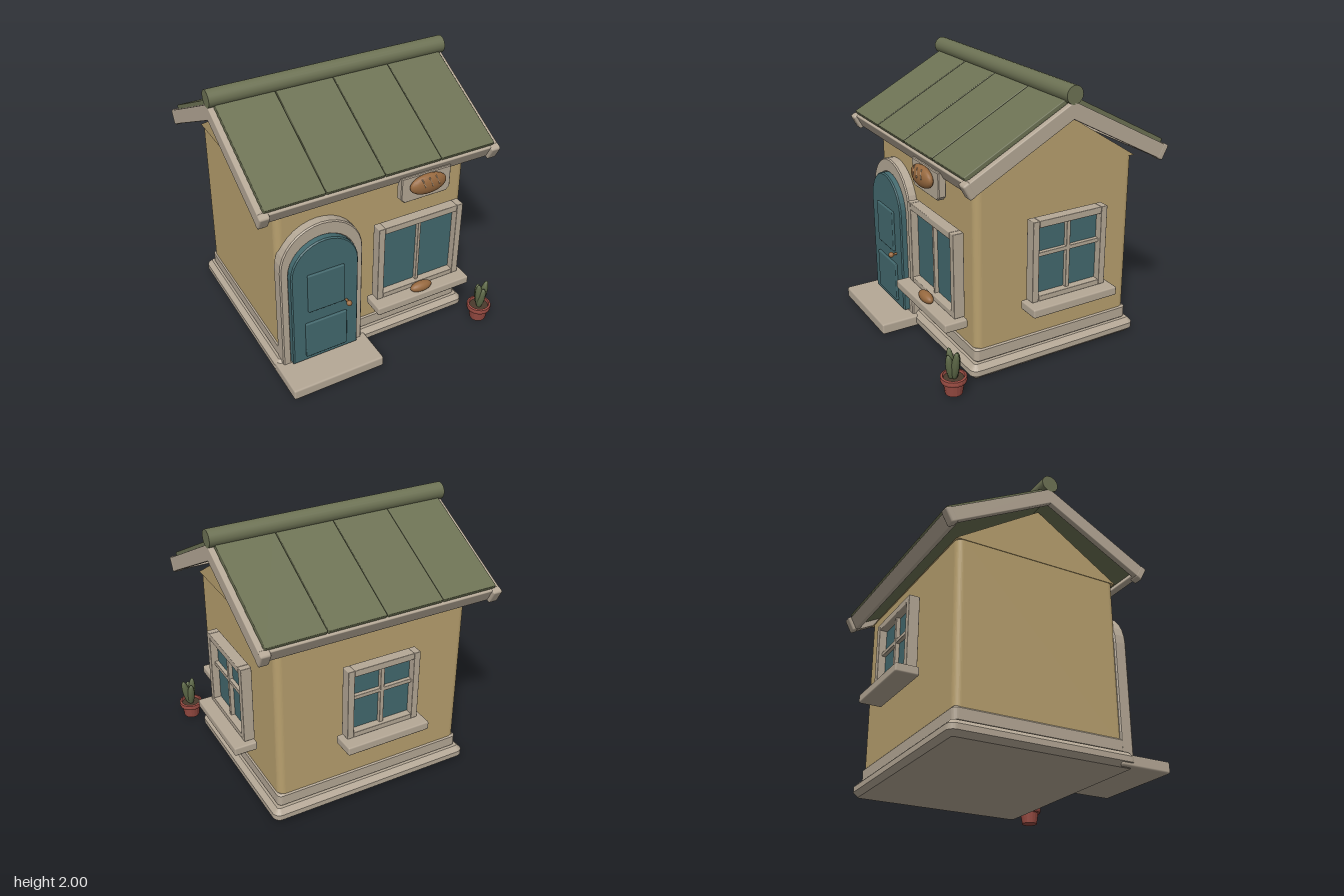
import * as THREE from 'three';
import { RoundedBoxGeometry } from 'three/addons/geometries/RoundedBoxGeometry.js';

const paint = (name, color) => {
  const m = new THREE.MeshStandardMaterial({ color });
  m.name = name;
  return m;
};

export function createModel() {
  const wall = paint('ochre plaster', 0xb8a06e);
  const trim = paint('pale stone', 0xb5a896);
  const roof = paint('moss green', 0x6d7254);
  const teal = paint('teal', 0x43696e);
  const clay = paint('terracotta', 0x984b42);
  const crust = paint('crust brown', 0x97693f);
  const score = paint('crust score', 0xc0a688);
  const soil = paint('soil', 0x4a3a2c);
  const leaf = paint('leaf green', 0x5d6847);

  const model = new THREE.Group();
  model.name = 'cottageShop';
  const CX = -0.02, CZ = -0.06;

  const add = (parent, name, geo, mat, x = 0, y = 0, z = 0) => {
    const m = new THREE.Mesh(geo, mat);
    m.name = name;
    m.position.set(x, y, z);
    parent.add(m);
    return m;
  };
  // box given by its min and max corners, with softened edges
  const box = (parent, name, mat, [x0, y0, z0], [x1, y1, z1], r = 0.008) => {
    const w = x1 - x0, h = y1 - y0, d = z1 - z0;
    const geo = r ? new RoundedBoxGeometry(w, h, d, 1, r) : new THREE.BoxGeometry(w, h, d);
    return add(parent, name, geo, mat, (x0 + x1) / 2, (y0 + y1) / 2, (z0 + z1) / 2);
  };
  const group = (name, parent = model) => {
    const g = new THREE.Group();
    g.name = name;
    parent.add(g);
    return g;
  };
  const roundRect = (hw, hd, r) => {
    const s = new THREE.Shape();
    s.absarc(hw - r, hd - r, r, 0, Math.PI / 2);
    s.absarc(-hw + r, hd - r, r, Math.PI / 2, Math.PI);
    s.absarc(-hw + r, -hd + r, r, Math.PI, Math.PI * 1.5);
    s.absarc(hw - r, -hd + r, r, Math.PI * 1.5, Math.PI * 2);
    return s;
  };

  // Foundation, plinth and walls
  const plinth = (name, hw, hd, y0, y1, b) => {
    const geo = new THREE.ExtrudeGeometry(roundRect(hw - b, hd - b, 0.02), {
      depth: y1 - y0 - 2 * b, bevelThickness: b, bevelSize: b, bevelSegments: 1, curveSegments: 3,
    });
    geo.rotateX(-Math.PI / 2);
    add(model, name, geo, trim, CX, y0 + b, CZ);
  };
  plinth('foundation', 0.8, 0.69, 0, 0.11, 0.035);
  plinth('plinth', 0.75, 0.64, 0.105, 0.21, 0.014);
  const walls = new THREE.ExtrudeGeometry(roundRect(0.74, 0.63, 0.05), {
    depth: 1.21, bevelEnabled: false, curveSegments: 5,
  });
  walls.rotateX(-Math.PI / 2);
  add(model, 'walls', walls, wall, CX, 0.18, CZ);

  // Gable prism under the roof
  const tri = new THREE.Shape([[-0.64, 0], [0.64, 0], [0, 0.41]].map(p => new THREE.Vector2(...p)));
  const gable = new THREE.ExtrudeGeometry(tri, { depth: 1.49, bevelEnabled: false });
  gable.translate(0, 0, -0.745).rotateY(Math.PI / 2);
  add(model, 'gable', gable, wall, CX, 1.388, CZ);

  // Roof slopes: local z runs down the slope from the ridge
  const pitch = Math.atan(0.53);
  [['frontRoof', 0], ['backRoof', Math.PI]].forEach(([name, turn]) => {
    const side = group(name);
    side.position.set(CX, 1.895, CZ);
    side.rotation.y = turn;
    const slope = group(name + 'Slope', side);
    slope.rotation.x = pitch;
    box(slope, 'roofDeck', roof, [-0.87, -0.06, 0], [0.87, 0, 0.86], 0);
    for (let i = 0; i < 4; i++) {
      const x = -0.872 + i * 0.436;
      box(slope, 'roofPanel', roof, [x + 0.003, -0.01, 0.01], [x + 0.433, 0.03, 0.865], 0.006);
    }
    box(slope, 'fascia', trim, [-0.88, -0.105, 0.84], [0.88, 0.002, 0.885]);
    for (const s of [-1, 1]) {
      const board = box(slope, 'bargeBoard', trim, [-0.022, -0.105, 0], [0.022, 0, 0.9]);
      board.position.x = s * 0.888;
      const end = box(slope, 'bargeEnd', trim, [-0.038, -0.11, 0.855], [0.038, 0.006, 0.91], 0.014);
      end.position.x = s * 0.874;
    }
  });
  const ridge = new THREE.CylinderGeometry(0.063, 0.063, 1.82, 20);
  ridge.rotateZ(Math.PI / 2);
  add(model, 'ridgeRoll', ridge, roof, CX, 1.937, CZ);

  // Arched door and surround
  const arch = (Type, hw, y0, top) => {
    const s = new Type();
    s.moveTo(-hw, y0);
    s.lineTo(hw, y0);
    s.lineTo(hw, top - hw);
    s.absarc(0, top - hw, hw, 0, Math.PI);
    s.lineTo(-hw, y0);
    return s;
  };
  const door = group('door');
  door.position.x = -0.455;
  const surround = arch(THREE.Shape, 0.307, 0.09, 1.227);
  surround.holes.push(arch(THREE.Path, 0.262, 0.1, 1.137));
  add(door, 'doorSurround', new THREE.ExtrudeGeometry(surround, {
    depth: 0.08, bevelThickness: 0.01, bevelSize: 0.008, bevelSegments: 1, curveSegments: 8,
  }), trim, 0, 0, 0.55);
  add(door, 'doorLeaf', new THREE.ExtrudeGeometry(arch(THREE.Shape, 0.248, 0.115, 1.123), {
    depth: 0.12, bevelThickness: 0.01, bevelSize: 0.008, bevelSegments: 1, curveSegments: 8,
  }), teal, 0, 0, 0.555);
  box(door, 'upperPanel', teal, [-0.137, 0.555, 0.67], [0.142, 0.875, 0.702]);
  box(door, 'lowerPanel', teal, [-0.16, 0.15, 0.67], [0.163, 0.455, 0.702]);
  const stem = new THREE.CylinderGeometry(0.009, 0.009, 0.05, 10);
  stem.rotateX(Math.PI / 2);
  add(door, 'knobStem', stem, crust, 0.162, 0.545, 0.705);
  add(door, 'doorKnob', new THREE.SphereGeometry(0.021, 14, 10), crust, 0.162, 0.545, 0.73);
  box(model, 'doorStep', trim, [-0.815, 0.005, 0.5], [-0.1, 0.09, 0.905], 0.015);

  // Windows: built facing +z, with the sill top at local y = 0
  const makeWindow = (name, w, h, sillW, cross) => {
    const g = group(name);
    const f = 0.05, d = 0.08, hw = w / 2;
    for (const s of [-1, 1]) {
      const jamb = box(g, 'jamb', trim, [-f / 2, 0, 0], [f / 2, h, d], 0.005);
      jamb.position.x = s * (hw - f / 2);
    }
    box(g, 'windowHead', trim, [-hw + f, h - f, 0], [hw - f, h, d], 0.005);
    box(g, 'bottomRail', trim, [-hw + f, 0, 0], [hw - f, 0.04, d], 0.005);
    box(g, 'glass', teal, [-hw + 0.03, 0.02, -0.01], [hw - 0.03, h - 0.03, 0.025], 0);
    const b = cross ? 0.015 : 0.011;
    box(g, 'mullion', trim, [-b, 0.03, 0.01], [b, h - 0.03, 0.055], 0.004);
    if (cross) box(g, 'glazingBar', trim, [-hw + 0.03, h * 0.565 - b, 0.01], [hw - 0.03, h * 0.565 + b, 0.053], 0.004);
    box(g, 'sill', trim, [-sillW / 2, -0.065, 0], [sillW / 2, 0, 0.172], 0.012);
    return g;
  };
  makeWindow('frontWindow', 0.69, 0.615, 0.775, false).position.set(0.302, 0.443, 0.615);
  const sideWindow = makeWindow('sideWindow', 0.6, 0.59, 0.685, true);
  sideWindow.position.set(0.76, 0.518, -0.098);
  sideWindow.rotation.y = Math.PI / 2;
  const backWindow = makeWindow('backWindow', 0.565, 0.54, 0.65, true);
  backWindow.position.set(-0.025, 0.61, -0.742);
  backWindow.rotation.y = Math.PI;

  // Hanging plaque with a scored loaf, and a bun on the front sill
  const plaque = new THREE.Shape([[-0.19, 0.19], [-0.19, 0.03], [-0.165, 0.005], [0.165, 0.005],
    [0.19, 0.03], [0.19, 0.19]].map(p => new THREE.Vector2(...p)));
  add(model, 'plaque', new THREE.ExtrudeGeometry(plaque, {
    depth: 0.045, bevelThickness: 0.006, bevelSize: 0.006, bevelSegments: 1,
  }), trim, 0.302, 1.24, 0.664);
  const loafGeo = new THREE.SphereGeometry(1, 24, 16);
  add(model, 'loaf', loafGeo, crust, 0.302, 1.362, 0.735).scale.set(0.143, 0.076, 0.045);
  for (let i = -1; i <= 1; i++) {
    const cut = add(model, 'loafScore', new THREE.CapsuleGeometry(0.005, 0.06, 3, 6), score,
      0.302 + i * 0.055, 1.393, 0.772 - Math.abs(i) * 0.004);
    cut.rotation.set(-0.3, 0, 0.35);
  }
  add(model, 'sillBun', loafGeo, crust, 0.302, 0.467, 0.735).scale.set(0.088, 0.039, 0.04);

  // Potted plant
  const plant = group('pottedPlant');
  plant.position.set(0.813, 0.005, 0.795);
  const pot = [[0, 0], [0.06, 0], [0.073, 0.085], [0.088, 0.09], [0.092, 0.105], [0.09, 0.128],
    [0.075, 0.132], [0.068, 0.11]].map(p => new THREE.Vector2(...p));
  const potGeo = new THREE.LatheGeometry(pot, 18).toNonIndexed();
  potGeo.computeVertexNormals();
  add(plant, 'pot', potGeo, clay);
  const soilGeo = new THREE.CircleGeometry(0.073, 18);
  soilGeo.rotateX(-Math.PI / 2);
  add(plant, 'soil', soilGeo, soil, 0, 0.115, 0);
  [[-0.018, 0.01, 0.12, 0.06], [0.03, 0, -0.2, 0], [0, -0.02, 0.02, -0.14], [-0.005, 0.025, -0.05, 0.14]]
    .forEach(([x, z, tiltZ, tiltX], i) => {
      const blade = add(plant, 'leaf', new THREE.SphereGeometry(1, 10, 10), leaf, x, i < 2 ? 0.215 : 0.195, z);
      blade.scale.set(0.03, i < 2 ? 0.115 : 0.1, 0.027);
      blade.rotation.set(tiltX, 0, tiltZ);
    });

  return model;
}
